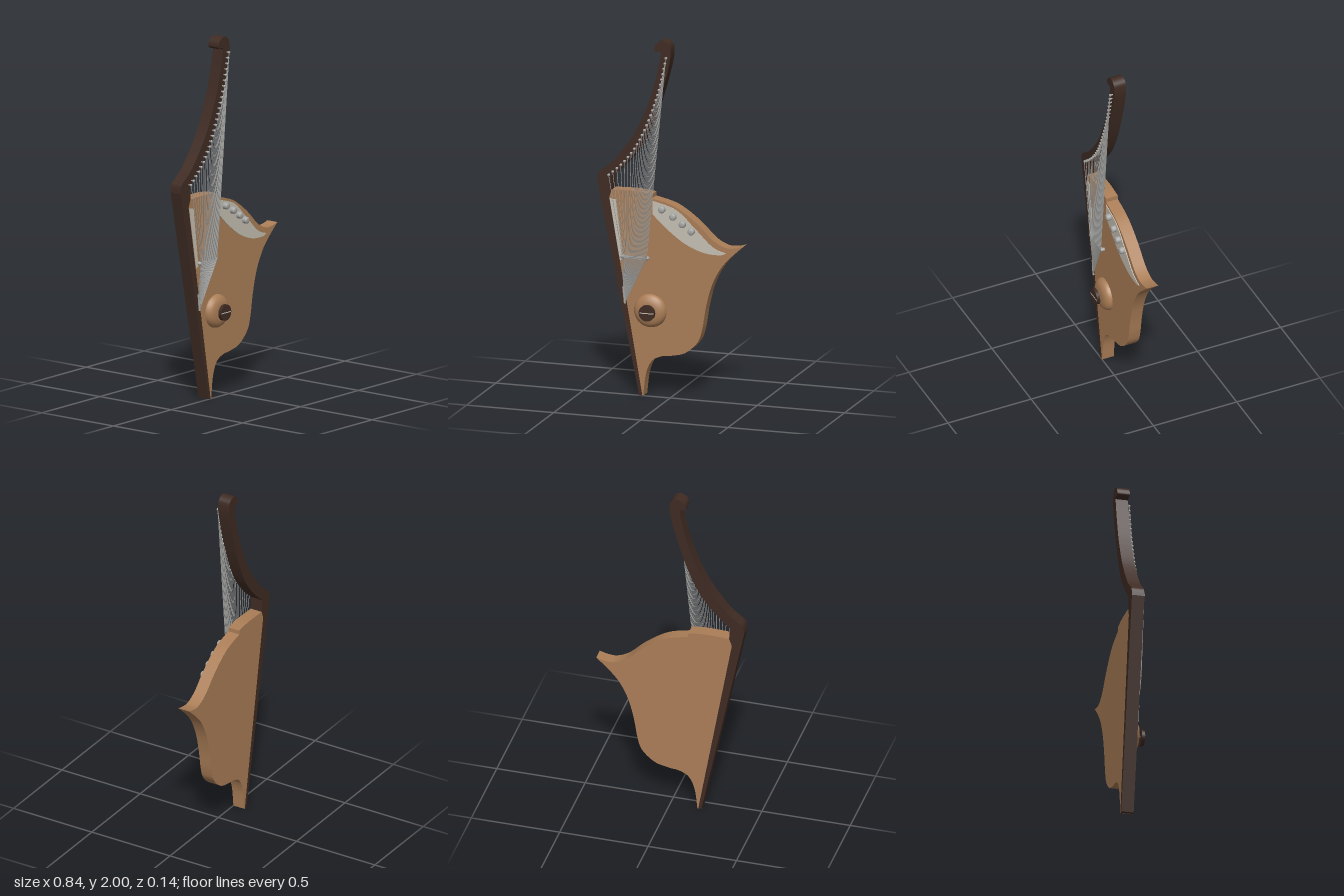
import * as THREE from 'three';

const paint = (name, color) => {
  const m = new THREE.MeshStandardMaterial({ color });
  m.name = name;
  return m;
};
const V2 = ([x, y]) => new THREE.Vector2(x, y);

export function createModel() {
  const group = new THREE.Group();
  group.name = 'harp';
  const wood = paint('light wood', 0xab7e57);
  const dark = paint('dark wood', 0x3f2b23);
  const metal = paint('metal', 0xa6a6a4);
  const inlay = paint('pale inlay', 0xc6c0b3);

  const add = (name, geo, mat, parent = group) => {
    const mesh = new THREE.Mesh(geo, mat);
    mesh.name = name;
    parent.add(mesh);
    return mesh;
  };
  // Outline from runs of points: two points make a line, more make a spline
  const outline = (start, ...runs) => {
    const s = new THREE.Shape();
    s.moveTo(...start);
    for (const run of runs) {
      if (run.length === 1) s.lineTo(...run[0]);
      else s.splineThru(run.map(V2));
    }
    return s;
  };
  const slab = (shape, z0, z1) => {
    const g = new THREE.ExtrudeGeometry(shape, { depth: z1 - z0, bevelEnabled: false, curveSegments: 28 });
    return g.translate(0, 0, z0);
  };
  // Turned part whose axis points to the front
  const turned = (profile, sides, x, y) =>
    new THREE.LatheGeometry(profile.map(V2), sides).rotateX(Math.PI / 2).translate(x, y, 0);
  const rod = (a, b, r, sides = 5) =>
    new THREE.TubeGeometry(new THREE.LineCurve3(a, b), 1, r, sides, false);

  // Soundboard
  const body = outline([-0.16, 0],
    [[-0.155, 0]],
    [[-0.14, 0.12], [-0.108, 0.196], [-0.055, 0.228], [0.01, 0.238], [0.087, 0.26], [0.156, 0.323],
      [0.183, 0.397], [0.204, 0.52], [0.235, 0.64], [0.283, 0.74], [0.34, 0.81], [0.417, 0.882]],
    [[0.37, 0.87], [0.315, 0.87], [0.246, 0.905], [0.167, 0.98], [0.087, 1.042], [0.008, 1.085], [-0.103, 1.113]],
    [[-0.103, 1.137]],
    [[-0.18, 1.146], [-0.257, 1.146], [-0.335, 1.143]],
    [[-0.35, 1.1]]);
  add('soundboard', slab(body, -0.07, 0), wood);

  // Post and curved neck with a hooked tip
  const frame = outline([-0.178, 0],
    [[-0.16, 0]], [[-0.35, 1.1]], [[-0.335, 1.143]], [[-0.338, 1.215]],
    [[-0.25, 1.3], [-0.17, 1.405], [-0.1, 1.555], [-0.04, 1.74], [-0.005, 1.88], [0.002, 1.95],
      [-0.01, 1.985], [-0.045, 2.0], [-0.082, 1.98], [-0.092, 1.95], [-0.083, 1.936]],
    [[-0.068, 1.941], [-0.052, 1.93]],
    [[-0.075, 1.82], [-0.12, 1.66], [-0.2, 1.48], [-0.31, 1.325], [-0.375, 1.265], [-0.41, 1.235], [-0.42, 1.19]]);
  add('frame', slab(frame, -0.07, 0), dark);

  // Pale inlay plates
  add('sideInlay', slab(outline([-0.347, 1.095], [[-0.287, 0.75]], [[-0.27, 0.76]], [[-0.312, 1.09]]), 0, 0.004), inlay);
  add('shoulderInlay', slab(outline([-0.1, 1.1],
    [[-0.1, 1.025]],
    [[-0.02, 0.95], [0.087, 0.873], [0.193, 0.832], [0.283, 0.826], [0.32, 0.838]],
    [[0.24, 0.87], [0.14, 0.965], [0.035, 1.058], [-0.1, 1.1]]), 0, 0.004), inlay);

  // Round buttons on the shoulder
  const buttons = new THREE.Group();
  buttons.name = 'buttons';
  group.add(buttons);
  for (const [x, y] of [[-0.044, 1.058], [0.02, 1.022], [0.074, 0.985], [0.125, 0.948]]) {
    add('button', turned([[0.019, 0], [0.019, 0.022], [0.017, 0.027], [0.012, 0.03], [0, 0.031]], 20, x, y), metal, buttons);
  }

  // Domed boss with a slotted knob
  const kx = -0.113, ky = 0.482;
  add('boss', turned([[0.093, 0], [0.091, 0.011], [0.083, 0.023], [0.068, 0.033], [0.046, 0.039], [0, 0.041]], 40, kx, ky), wood);
  add('knobStem', turned([[0.015, 0.035], [0.015, 0.055]], 20, kx, ky), dark);
  const knob = new THREE.CylinderGeometry(0.045, 0.045, 0.018, 32).rotateX(Math.PI / 2);
  add('knob', knob.translate(kx, ky, 0.061), dark);
  add('knobSlot', new THREE.BoxGeometry(0.08, 0.005, 0.002).translate(kx, ky, 0.0705), inlay);

  // Strings run from neck pins over the bridge to the tail
  const strings = new THREE.Group();
  strings.name = 'strings';
  group.add(strings);
  const pinPath = new THREE.SplineCurve([[-0.348, 1.228], [-0.262, 1.308], [-0.185, 1.413],
    [-0.115, 1.565], [-0.058, 1.735], [-0.02, 1.91]].map(V2));
  const count = 26;
  for (let i = 0; i < count; i++) {
    const t = i / (count - 1);
    const p = pinPath.getPointAt(t);
    const top = new THREE.Vector3(p.x, p.y, 0.016);
    const mid = new THREE.Vector3(-0.267 + 0.137 * t, 0.776, 0.02);
    const tail = new THREE.Vector3(-0.268 + 0.008 * t, 0.6 - 0.085 * t, 0.004);
    add('string', rod(top, mid, 0.0018), metal, strings);
    add('stringTail', rod(mid, tail, 0.0018), metal, strings);
    add('tuningPin', turned([[0.004, 0], [0.004, 0.011], [0.0075, 0.012], [0.0075, 0.019], [0, 0.021]], 8, p.x, p.y), metal, strings);
  }

  // Bridge bar on two feet, and the tail bar
  add('bridge', new THREE.BoxGeometry(0.15, 0.012, 0.012).translate(-0.198, 0.776, 0.014), metal);
  for (const x of [-0.268, -0.128]) {
    add('bridgeFoot', turned([[0.01, 0], [0.01, 0.02], [0, 0.022]], 12, x, 0.776), metal);
  }
  add('tailBar', rod(new THREE.Vector3(-0.269, 0.605, 0.003), new THREE.Vector3(-0.259, 0.51, 0.003), 0.006, 8), metal);

  return group;
}
